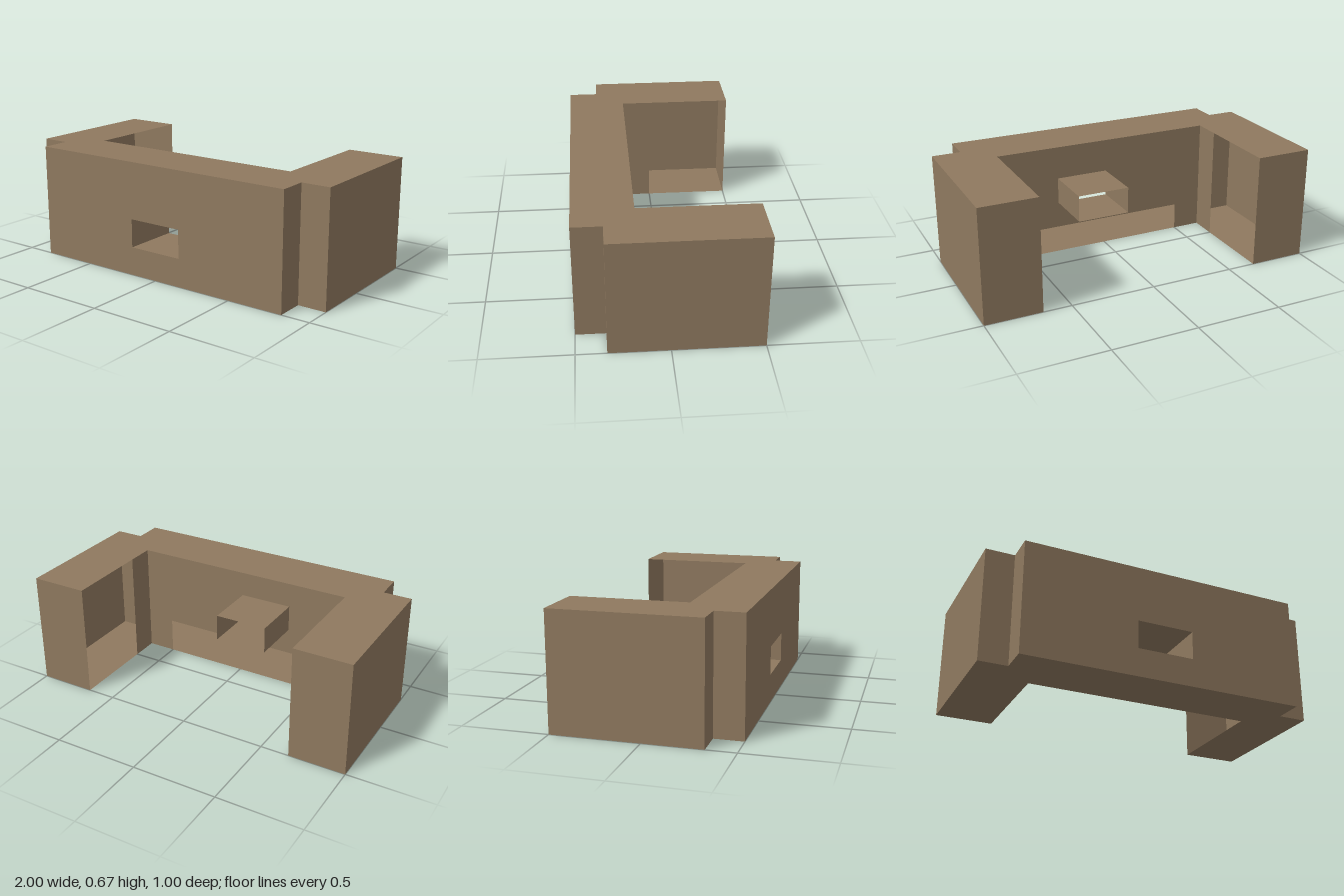
import * as THREE from 'three';

// Everything sits on a grid of one sixth of a unit
const U = 1 / 6;
const HEIGHT = 4 * U;

export function createModel() {
  const group = new THREE.Group();
  const tan = new THREE.MeshStandardMaterial({ color: 0x8f795f, side: THREE.DoubleSide });
  tan.name = 'tan';

  const add = (name, geometry) => {
    const mesh = new THREE.Mesh(geometry, tan);
    mesh.name = name;
    group.add(mesh);
    return mesh;
  };

  // Upright panel over the plan line a -> b (grid cells); it faces the right-hand side of the line
  const panel = (name, [ax, az], [bx, bz], y0 = 0, y1 = 4) => {
    const dx = bx - ax, dz = bz - az;
    const mesh = add(name, new THREE.PlaneGeometry(Math.hypot(dx, dz) * U, (y1 - y0) * U));
    mesh.rotation.y = Math.atan2(-dz, dx);
    mesh.position.set((ax + bx) / 2 * U, (y0 + y1) / 2 * U, (az + bz) / 2 * U);
  };

  // U-shaped plan: [x, z] in cells, from the front round to the model's left
  const half = [[5, 3], [5, 2], [6, 2], [6, -3], [4, -3], [4, 1]];
  const plan = [...half, ...half.map(([x, z]) => [-x, z]).reverse()];
  const planShape = (sign) =>
    new THREE.Shape(plan.map(([x, z]) => new THREE.Vector2(x * U, sign * z * U)));

  // Roof and floor
  const roof = add('roof', new THREE.ShapeGeometry(planShape(-1)).rotateX(-Math.PI / 2));
  roof.position.y = HEIGHT;
  add('floor', new THREE.ShapeGeometry(planShape(1)).rotateX(Math.PI / 2));

  // Front wall with its window opening
  const rect = (Type, x, y0, y1) => new Type([[-x, y0], [x, y0], [x, y1], [-x, y1]]
    .map(([px, py]) => new THREE.Vector2(px * U, py * U)));
  const front = rect(THREE.Shape, 5, 0, 4);
  front.holes.push(rect(THREE.Path, 1, 1, 2));
  add('frontWall', new THREE.ShapeGeometry(front)).position.z = 3 * U;

  // Side walls, mirrored; the courtyard side is open apart from the corner posts
  const walls = [
    ['cornerStep', [5, 3], [5, 2]],
    ['armFront', [5, 2], [6, 2]],
    ['armOuterWall', [6, 2], [6, -3]],
    ['armEnd', [6, -3], [4, -3]],
    ['postSide', [4, 0], [4, 1]],
    ['postBack', [4, 1], [3, 1]],
  ];
  for (const [name, a, b] of walls) {
    panel(`${name}Left`, a, b);
    panel(`${name}Right`, [-b[0], b[1]], [-a[0], a[1]]);
  }

  // Window tunnel running back through the hollow front wall
  panel('tunnelSideLeft', [1, 3], [1, 1], 1, 2);
  panel('tunnelSideRight', [-1, 1], [-1, 3], 1, 2);
  for (const [name, y, turn] of [['tunnelTop', 2, -1], ['tunnelBottom', 1, 1]]) {
    const mesh = add(name, new THREE.PlaneGeometry(2 * U, 2 * U).rotateX(turn * Math.PI / 2));
    mesh.position.set(0, y * U, 2 * U);
  }

  return group;
}
